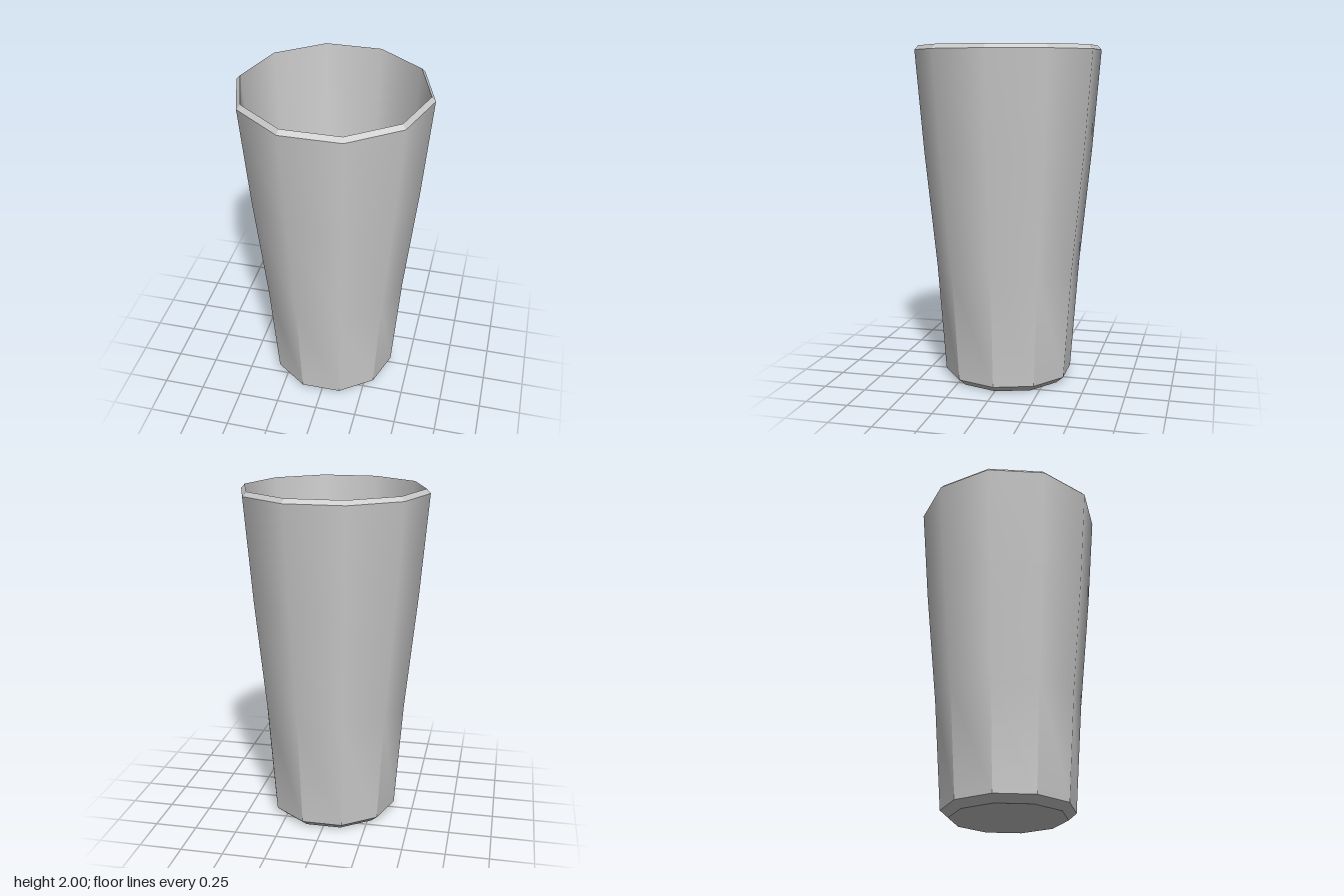
import * as THREE from 'three';

const SIDES = 10;
const material = new THREE.MeshStandardMaterial({ color: 0xcccccc });

// Ten-sided lathe with a corner on the x axis; profile is a list of [radius, height]
function lathe(profile) {
  const points = profile.map(([r, y]) => new THREE.Vector2(r, y));
  return new THREE.LatheGeometry(points, SIDES, Math.PI / 2);
}

// Same lathe with one flat normal per face
function facetedLathe(profile) {
  const geometry = lathe(profile).toNonIndexed();
  geometry.computeVertexNormals();
  return geometry;
}

// Outer wall: smooth above, blending into crisp facets at its lower edge
function wallGeometry(profile) {
  const geometry = lathe(profile).toNonIndexed();
  const smooth = geometry.attributes.normal.clone();
  geometry.computeVertexNormals();
  const { position, normal } = geometry.attributes;
  const footHeight = profile[0][1];
  for (let i = 0; i < position.count; i++) {
    if (position.getY(i) > footHeight + 0.01) {
      normal.setXYZ(i, smooth.getX(i), smooth.getY(i), smooth.getZ(i));
    }
  }
  return geometry;
}

export function createModel() {
  const cup = new THREE.Group();
  cup.name = 'cup';
  const add = (name, geometry) => {
    const mesh = new THREE.Mesh(geometry, material);
    mesh.name = name;
    cup.add(mesh);
  };

  // Underside and the bevel around it
  add('base', facetedLathe([[0, 0], [0.338, 0]]));
  add('baseBevel', facetedLathe([[0.338, 0], [0.384, 0.04]]));

  // Tapering outside, slightly pinched below the middle
  add('outerWall', wallGeometry([[0.384, 0.04], [0.432, 0.69], [0.502, 1.38], [0.551, 1.975]]));

  // Sloping lip
  add('rim', facetedLathe([[0.551, 1.975], [0.528, 2]]));

  // Hollow inside, running smoothly into the floor
  add('innerWall', lathe([[0.528, 2], [0.48, 1.38], [0.41, 0.69], [0.362, 0.08], [0.32, 0.05], [0, 0.05]]));

  return cup;
}
